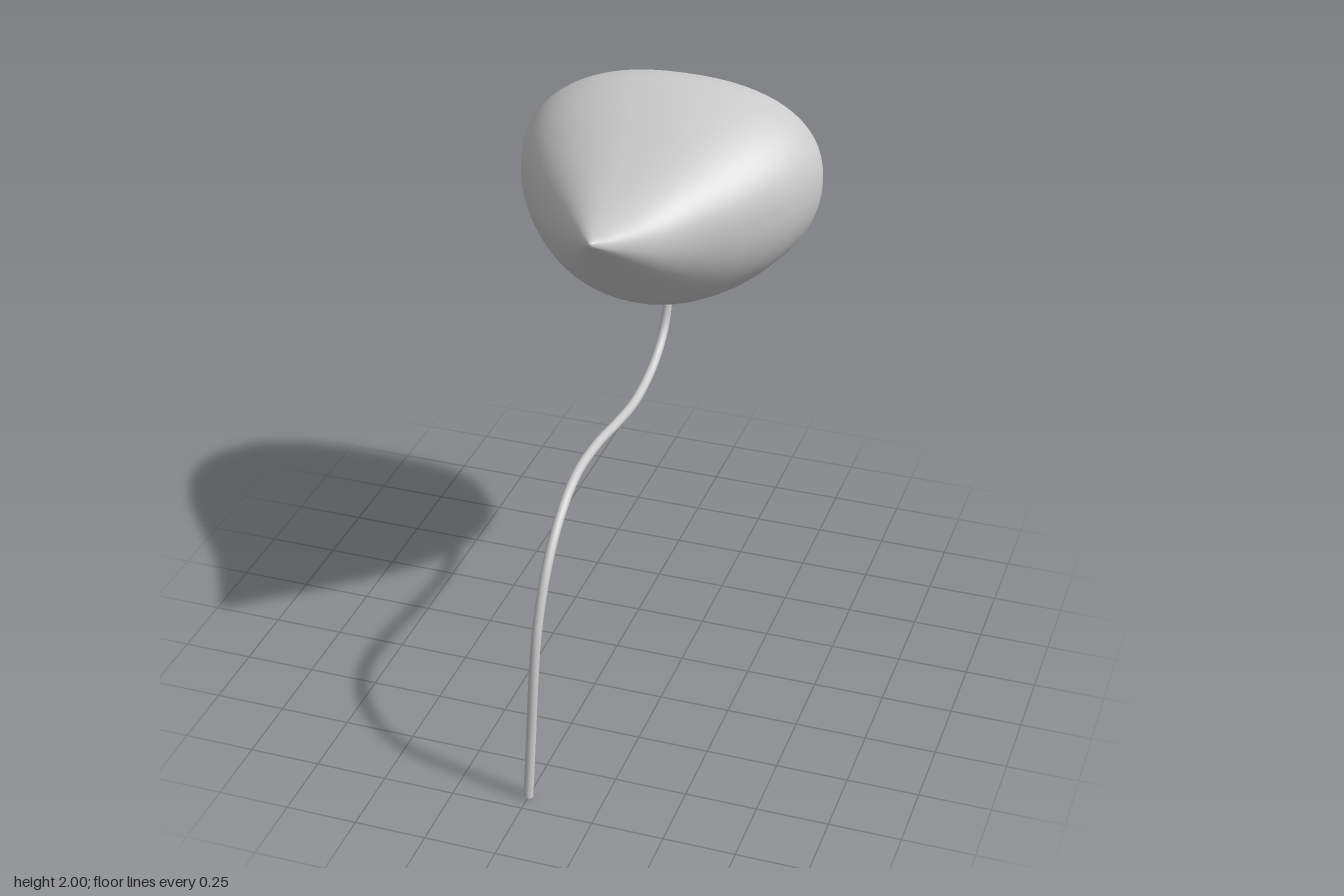
import * as THREE from 'three';

const material = new THREE.MeshStandardMaterial({ color: 0xcccccc });

// Cross-sections of the bud from tip to back: z, top y, bottom y, half width, y of widest point
const SECTIONS = [
  [0.278, 1.78, 1.766, 0.006, 1.773],
  [0.25, 1.785, 1.738, 0.03, 1.757],
  [0.18, 1.786, 1.67, 0.08, 1.725],
  [0.0, 1.812, 1.49, 0.21, 1.66],
  [-0.2, 1.885, 1.325, 0.37, 1.645],
  [-0.36, 1.948, 1.262, 0.475, 1.65],
  [-0.5, 1.987, 1.25, 0.53, 1.66],
  [-0.61, 2.0, 1.253, 0.545, 1.66],
  [-0.72, 1.98, 1.288, 0.52, 1.66],
  [-0.81, 1.93, 1.345, 0.465, 1.66],
  [-0.88, 1.865, 1.415, 0.4, 1.655],
  [-0.92, 1.79, 1.49, 0.315, 1.65],
  [-0.942, 1.71, 1.57, 0.17, 1.645],
  [-0.95, 1.645, 1.635, 0.01, 1.64],
];

const signedPow = (v, p) => Math.sign(v) * Math.pow(Math.abs(v), p);

function budGeometry(rows = 78, sides = 64) {
  const heights = new THREE.CatmullRomCurve3(
    SECTIONS.map(([z, top, bottom]) => new THREE.Vector3(z, top, bottom)), false, 'catmullrom', 0.5);
  const widths = new THREE.CatmullRomCurve3(
    SECTIONS.map(([, , , w, mid]) => new THREE.Vector3(w, mid, 0)), false, 'catmullrom', 0.5);
  const pos = [], index = [];

  // Rings: flatter above the widest line, elliptical below it
  for (let i = 0; i <= rows; i++) {
    const { x: z, y: top, z: bottom } = heights.getPoint(i / rows);
    const { x: w, y: mid } = widths.getPoint(i / rows);
    for (let j = 0; j < sides; j++) {
      const a = (j / sides) * Math.PI * 2;
      const c = Math.cos(a), s = Math.sin(a);
      const p = s > 0 ? 2 / 2.3 : 1;
      const h = s > 0 ? top - mid : mid - bottom;
      pos.push(w * signedPow(c, p), mid + h * signedPow(s, p), z);
    }
  }
  for (let i = 0; i < rows; i++) {
    for (let j = 0; j < sides; j++) {
      const k = (j + 1) % sides;
      const a = i * sides + j, b = a + sides, d = i * sides + k, c = d + sides;
      index.push(a, b, c, a, c, d);
    }
  }

  // Close the tip and the back
  const tip = pos.length / 3, back = tip + 1, last = rows * sides;
  pos.push(0, 1.774, 0.28, 0, 1.64, -0.951);
  for (let j = 0; j < sides; j++) {
    const k = (j + 1) % sides;
    index.push(tip, j, k, back, last + k, last + j);
  }

  const geo = new THREE.BufferGeometry();
  geo.setAttribute('position', new THREE.Float32BufferAttribute(pos, 3));
  geo.setIndex(index);
  geo.computeVertexNormals();
  return geo;
}

export function createModel() {
  const model = new THREE.Group();

  const bud = new THREE.Mesh(budGeometry(), material);
  bud.name = 'bud';
  model.add(bud);

  // Curved stem in the middle plane, given as z, y
  const path = new THREE.CatmullRomCurve3([
    [0.935, 0.003], [0.9, 0.22], [0.86, 0.47], [0.82, 0.62], [0.72, 0.8], [0.58, 0.925], [0.43, 0.985],
    [0.22, 0.985], [0, 0.95], [-0.2, 0.93], [-0.4, 0.967], [-0.52, 1.045], [-0.567, 1.14], [-0.582, 1.3],
  ].map(([z, y]) => new THREE.Vector3(0, y, z)));
  const stem = new THREE.Group();
  stem.name = 'stem';
  const stalk = new THREE.Mesh(new THREE.TubeGeometry(path, 120, 0.017, 16), material);
  stalk.name = 'stalk';

  // Cut end of the stem
  const foot = new THREE.Mesh(new THREE.CircleGeometry(0.017, 16), material);
  foot.name = 'stemEnd';
  foot.position.copy(path.getPoint(0));
  foot.quaternion.setFromUnitVectors(new THREE.Vector3(0, 0, 1), path.getTangent(0).negate());

  // Slight flare where the stem meets the bud
  const collar = new THREE.Mesh(new THREE.CylinderGeometry(0.026, 0.017, 0.1, 16, 1, true), material);
  collar.name = 'stemCollar';
  collar.position.set(0, 1.22, -0.577);
  collar.rotation.x = -0.08;
  stem.add(stalk, foot, collar);
  model.add(stem);

  return model;
}
